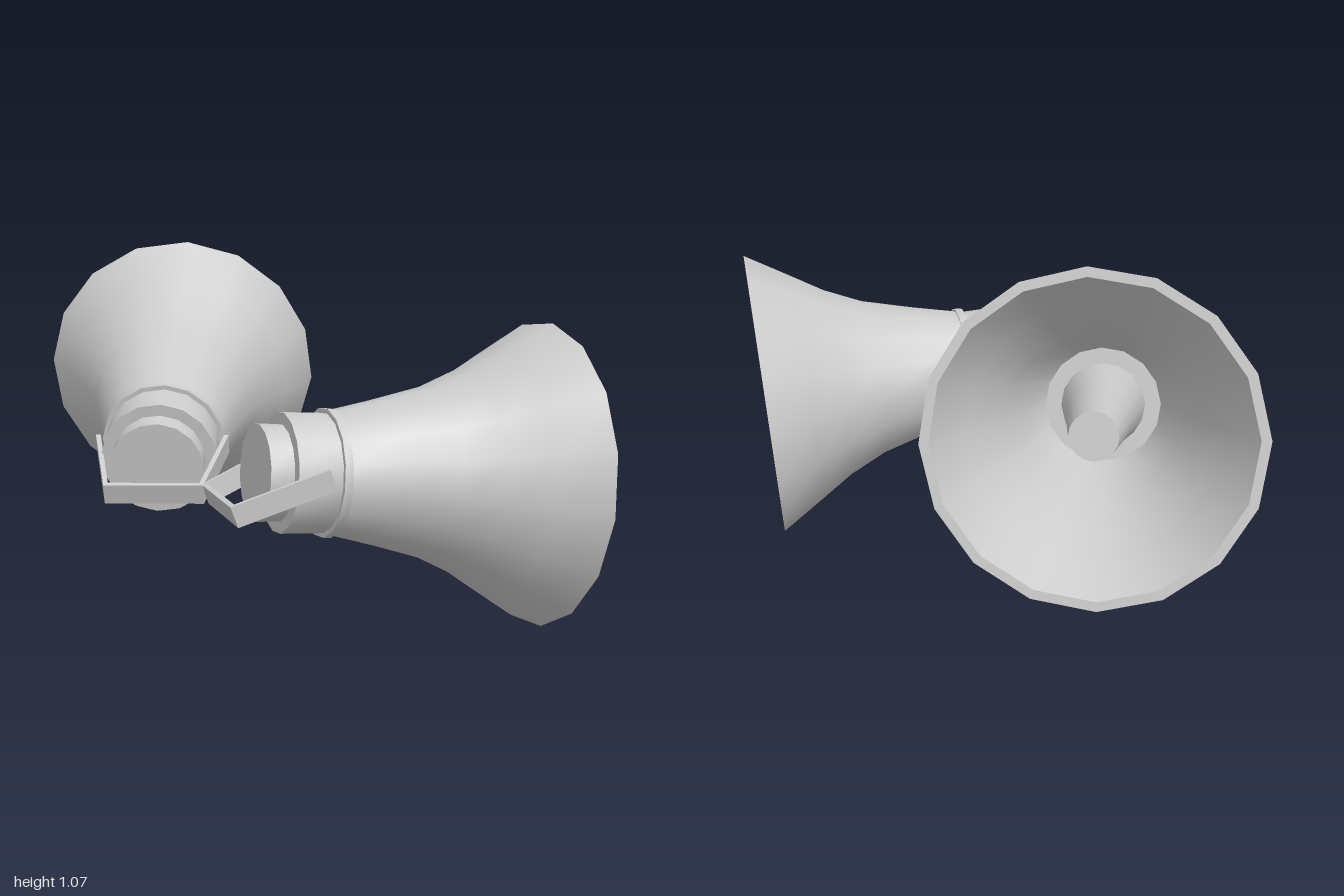
import * as THREE from 'three';
import { toCreasedNormals } from 'three/addons/utils/BufferGeometryUtils.js';

const SIDES = 16;
const deg = THREE.MathUtils.degToRad;
const grey = new THREE.MeshStandardMaterial({ color: 0xcccccc });

// Revolved part along +z; profile points are [radius, distance from the rear cap].
function turned(name, profile) {
  const points = profile.map(([r, s]) => new THREE.Vector2(r, s));
  const geometry = new THREE.LatheGeometry(points, SIDES).rotateX(Math.PI / 2);
  const mesh = new THREE.Mesh(toCreasedNormals(geometry, deg(32)), grey);
  mesh.name = name;
  return mesh;
}

function createHorn() {
  const horn = new THREE.Group();
  horn.name = 'horn';
  horn.add(
    turned('rearCap', [[0, 0], [0.133, 0], [0.133, 0.08]]),
    turned('driverCollar', [[0, 0.066], [0.166, 0.066], [0.166, 0.2]]),
    turned('flange', [[0, 0.19], [0.179, 0.19], [0.179, 0.213], [0, 0.213]]),
    // Flared outer wall, flat rim, inner wall and throat floor
    turned('bell', [
      [0.172, 0.21], [0.203, 0.34], [0.246, 0.5], [0.298, 0.615], [0.36, 0.715], [0.441, 0.848],
      [0.415, 0.848], [0.338, 0.715], [0.278, 0.615], [0.228, 0.5], [0.165, 0.33], [0, 0.33],
    ]),
    turned('centrePlug', [[0.12, 0.33], [0.092, 0.52], [0.066, 0.77], [0, 0.77]]),
  );
  return horn;
}

// U-shaped strap with splayed arms, sloping up from its rear bar to the collar
function createBracket(y, z) {
  const outline = [
    [-0.195, 0.27], [-0.138, 0], [0.138, 0], [0.195, 0.27],
    [0.181, 0.27], [0.127, 0.014], [-0.127, 0.014], [-0.181, 0.27],
  ];
  const shape = new THREE.Shape(outline.map(([px, py]) => new THREE.Vector2(px, py)));
  const width = 0.06;
  const geometry = new THREE.ExtrudeGeometry(shape, { depth: width, bevelEnabled: false })
    .translate(0, 0, -width / 2)
    .rotateX(Math.PI / 2);
  const bracket = new THREE.Mesh(geometry, grey);
  bracket.name = 'bracket';
  bracket.position.set(0, y, z);
  bracket.rotation.x = -deg(20);
  return bracket;
}

// The bracket stays level while the horn tilts up or down inside it.
function createSpeaker(name, [x, y, z], yaw, tilt, bracket) {
  const speaker = new THREE.Group();
  speaker.name = name;
  speaker.position.set(x, y, z);
  speaker.rotation.y = deg(yaw);
  const horn = createHorn();
  horn.rotation.set(-deg(tilt), 0, deg(4));
  speaker.add(horn, bracket);
  return speaker;
}

export function createModel() {
  const model = new THREE.Group();
  model.name = 'hornSpeakers';
  model.add(
    createSpeaker('rightSpeaker', [-0.205, 0.48, 0.385], 209.7, 11, createBracket(-0.057, -0.084)),
    createSpeaker('leftSpeaker', [0.125, 0.506, 0.39], 140, -4.5, createBracket(-0.083, -0.102)),
  );
  return model;
}
